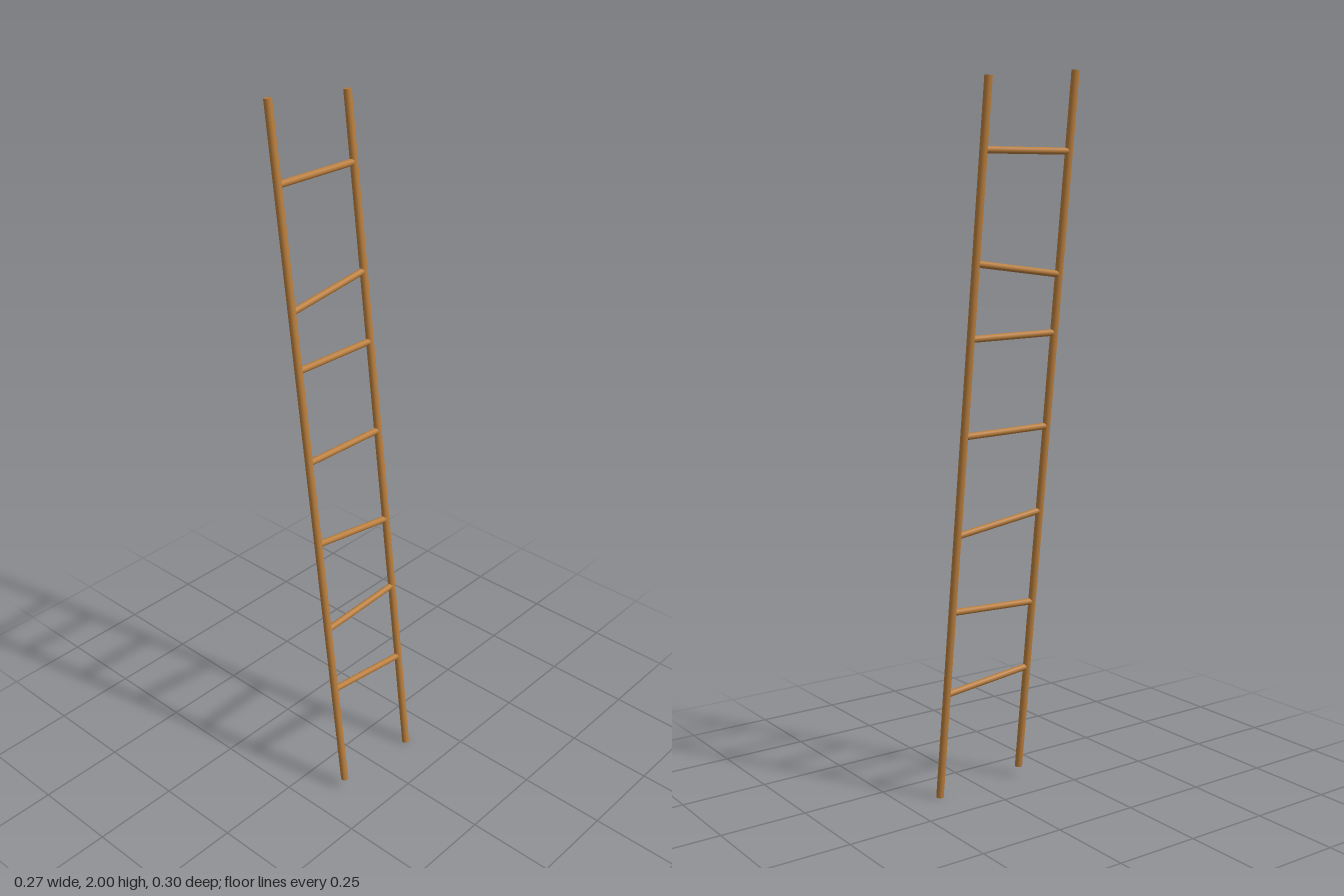
import * as THREE from 'three';

export function createModel() {
  const ladder = new THREE.Group();
  ladder.name = 'ladder';
  const wood = new THREE.MeshStandardMaterial({ color: 0xb87d3c });
  wood.name = 'wood';

  // x of the leaning ladder plane at height y
  const leanX = (y) => 0.1232 - 0.1241 * y;
  const point = (y, z) => new THREE.Vector3(leanX(y), y, z);

  // Round pole between two points
  function pole(name, a, b, radius) {
    const dir = b.clone().sub(a);
    const mesh = new THREE.Mesh(new THREE.CylinderGeometry(radius, radius, dir.length(), 20), wood);
    mesh.position.copy(a).add(b).multiplyScalar(0.5);
    mesh.quaternion.setFromUnitVectors(new THREE.Vector3(0, 1, 0), dir.normalize());
    mesh.name = name;
    ladder.add(mesh);
  }

  // Side rails, slightly offset along their length
  const frontZ = 0.136, backZ = -0.138;
  pole('frontRail', point(0.032, frontZ), point(1.9987, frontZ), 0.0107);
  pole('backRail', point(0.0013, backZ), point(1.968, backZ), 0.0107);

  // Uneven rungs: height at the front rail, height at the back rail
  const rungs = [
    [0.345, 0.313], [0.544, 0.553], [0.812, 0.772], [1.055, 1.046],
    [1.314, 1.306], [1.472, 1.501], [1.793, 1.787],
  ];
  rungs.forEach(([front, back], i) => {
    pole(`rung${i + 1}`, point(front, frontZ - 0.005), point(back, backZ + 0.005), 0.0092);
  });

  return ladder;
}
